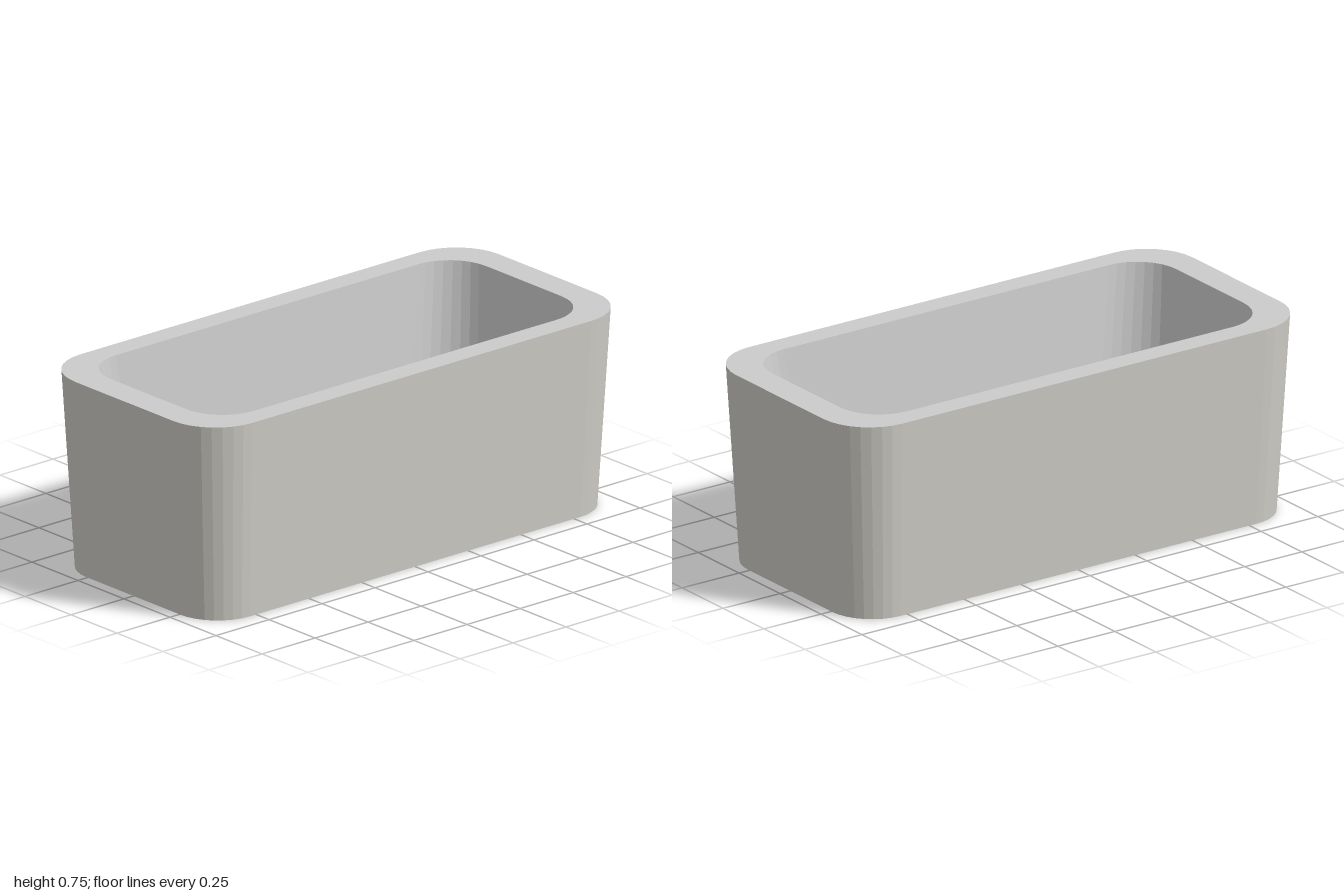
import * as THREE from 'three';

const STEPS = 8; // segments per rounded corner

// Rounded rectangle outline, counter-clockwise seen from above (second axis is -z)
function outline(halfX, halfZ, radius) {
  const points = [];
  const corners = [[1, 1], [-1, 1], [-1, -1], [1, -1]];
  corners.forEach(([sx, sz], c) => {
    for (let i = 0; i <= STEPS; i++) {
      const a = (c + i / STEPS) * Math.PI / 2;
      points.push(new THREE.Vector2(
        sx * (halfX - radius) + radius * Math.cos(a),
        sz * (halfZ - radius) + radius * Math.sin(a)));
    }
  });
  return points;
}

// Wall between two outlines; faces outwards when the first one is the lower
function wall(ringA, yA, ringB, yB) {
  const positions = [], index = [], n = ringA.length;
  ringA.forEach((p, i) => {
    const q = ringB[i], j = (i + 1) % n;
    positions.push(p.x, yA, -p.y, q.x, yB, -q.y);
    index.push(2 * i, 2 * j, 2 * j + 1, 2 * i, 2 * j + 1, 2 * i + 1);
  });
  const geometry = new THREE.BufferGeometry();
  geometry.setAttribute('position', new THREE.Float32BufferAttribute(positions, 3));
  geometry.setIndex(index);
  geometry.computeVertexNormals();
  return geometry;
}

// Flat horizontal face, optionally with an opening
function plate(ring, y, hole) {
  const shape = new THREE.Shape(ring);
  if (hole) shape.holes.push(new THREE.Path(hole));
  return new THREE.ShapeGeometry(shape).rotateX(-Math.PI / 2).translate(0, y, 0);
}

export function createModel() {
  const group = new THREE.Group();
  const grey = new THREE.MeshStandardMaterial({ color: 0xcccccc, flatShading: true });
  const warmGrey = new THREE.MeshStandardMaterial({ color: 0xcfcdc6, flatShading: true });
  const metal = new THREE.MeshStandardMaterial({ color: 0xb4bcc2 });
  const add = (name, geometry, material) => {
    const mesh = new THREE.Mesh(geometry, material);
    mesh.name = name;
    group.add(mesh);
    return mesh;
  };

  const top = 0.75, floorY = 0.1;
  const outerTop = outline(1, 0.467, 0.2);
  const outerBottom = outline(0.955, 0.43, 0.175);
  const innerTop = outline(0.885, 0.377, 0.17);
  const innerBottom = outline(0.8, 0.306, 0.19);

  // Tapered outside and its closed underside
  add('outerWall', wall(outerBottom, 0, outerTop, top), warmGrey);
  add('underside', plate(outerBottom, 0).rotateX(Math.PI), grey);

  // Flat rim around the opening
  add('rim', plate(outerTop, top, innerTop), grey);

  // Basin
  add('innerWall', wall(innerTop, top, innerBottom, floorY), grey);
  add('basinFloor', plate(innerBottom, floorY), grey);

  // Drain in the back left corner of the floor
  const drain = add('drain', new THREE.CylinderGeometry(0.052, 0.052, 0.01, 24), metal);
  drain.position.set(0.655, floorY + 0.005, -0.21);

  return group;
}
